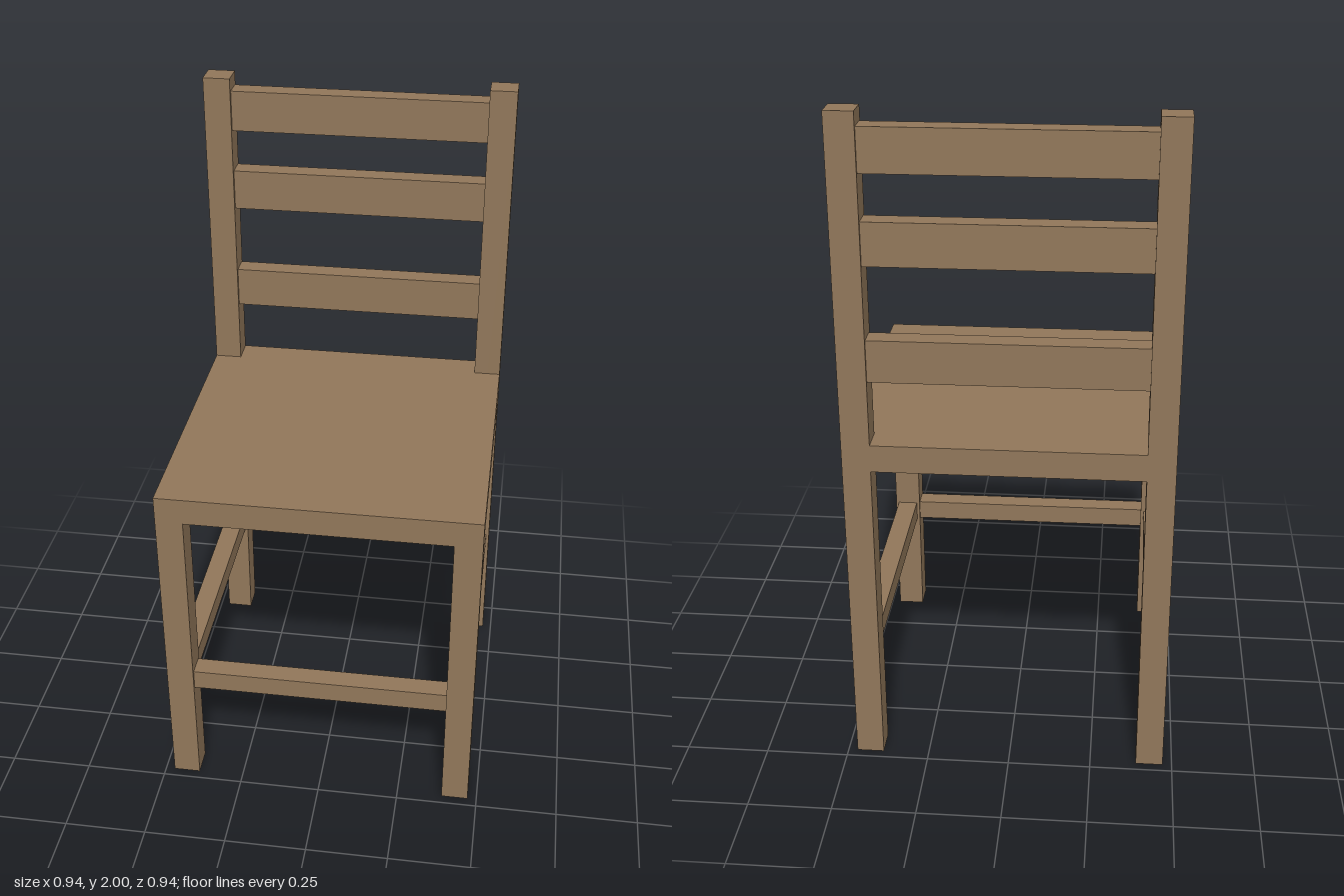
import * as THREE from 'three';

export function createModel() {
  const chair = new THREE.Group();
  chair.name = 'chair';
  const wood = new THREE.MeshStandardMaterial({ color: 0x91775a });
  wood.name = 'brown wood';

  const half = 0.472, post = 0.082;        // half width of the chair, post thickness
  const inner = half - post, mid = half - post / 2;
  const seatBottom = 0.972, seatTop = 1.054, rail = 0.063;

  function add(name, geometry, x, y, z) {
    const mesh = new THREE.Mesh(geometry, wood);
    mesh.name = name;
    mesh.position.set(x, y, z);
    chair.add(mesh);
  }
  const box = (name, w, h, d, x, y, z) => add(name, new THREE.BoxGeometry(w, h, d), x, y, z);

  // Legs and lower side rails, mirrored; the back legs run up as posts
  for (const [side, s] of [['left', 1], ['right', -1]]) {
    box(side + 'FrontLeg', post, seatBottom, post, s * mid, seatBottom / 2, mid);
    box(side + 'BackPost', post, 2, post, s * mid, 1, -mid);
    box(side + 'Stretcher', rail, rail, inner * 2, s * mid, 0.379, 0);
  }
  box('frontStretcher', inner * 2, rail, rail, 0, 0.379, mid);

  // Seat board, notched around the back posts (shape y becomes -z)
  const outline = [
    [-half, -half], [half, -half], [half, inner], [inner, inner],
    [inner, half], [-inner, half], [-inner, inner], [-half, inner],
  ].map(([x, y]) => new THREE.Vector2(x, y));
  const seat = new THREE.ExtrudeGeometry(new THREE.Shape(outline), {
    depth: seatTop - seatBottom, bevelEnabled: false,
  });
  seat.rotateX(-Math.PI / 2);
  add('seat', seat, 0, seatBottom, 0);

  // Backrest slats
  [1.307, 1.643, 1.897].forEach((y, i) =>
    box('backSlat' + (i + 1), inner * 2, 0.124, rail, 0, y, -mid - 0.002));

  return chair;
}
